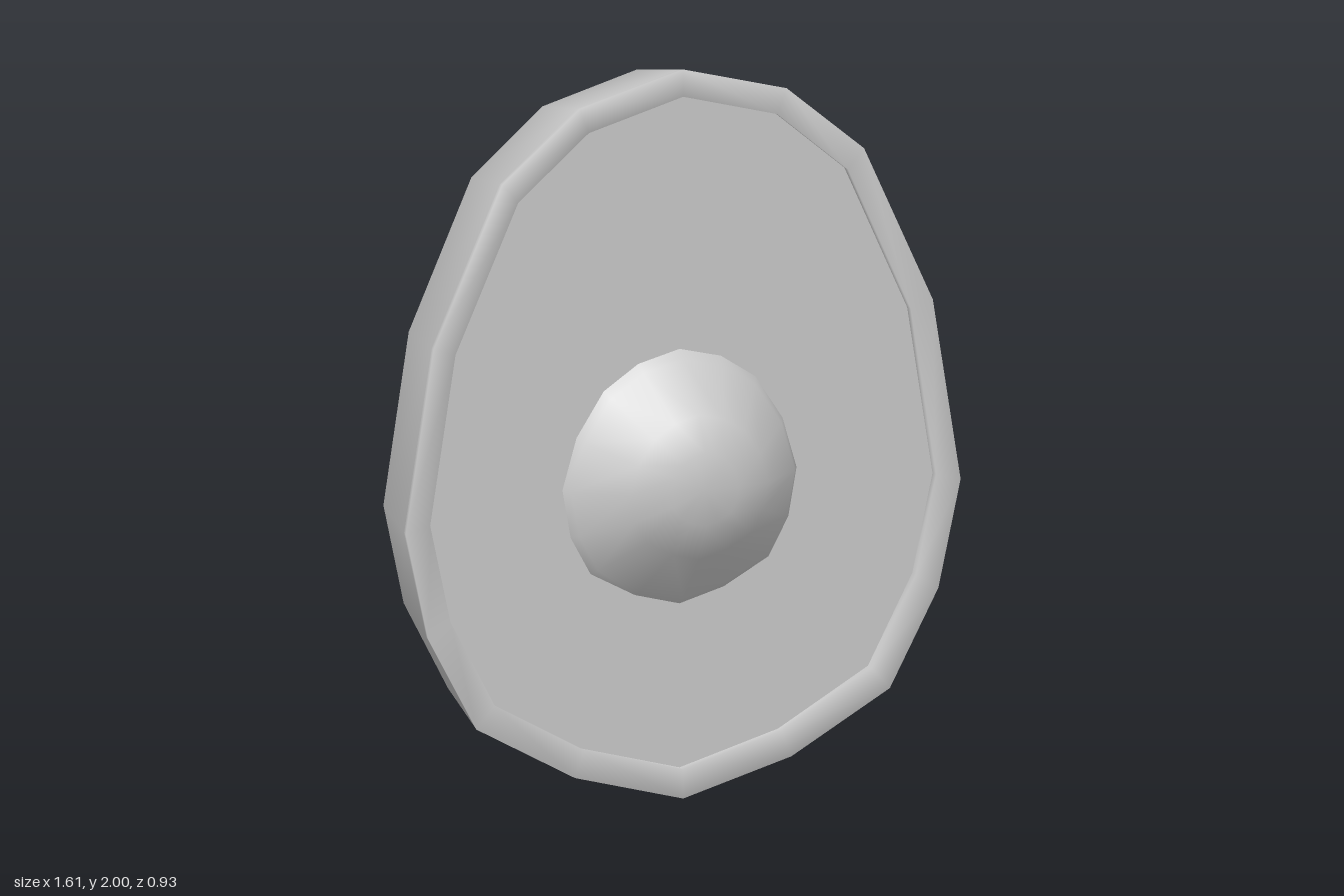
import * as THREE from 'three';

// Right half of each outline, top to bottom, as [x 0..1, y 0..1]
const EGG = [[0, 1], [0.373, 0.96], [0.652, 0.867], [0.9, 0.65], [1, 0.4], [0.92, 0.254], [0.745, 0.123], [0.39, 0.043], [0, 0]];
const PIT = [[0, 1], [0.353, 0.957], [0.647, 0.863], [0.88, 0.69], [1, 0.49], [0.93, 0.3], [0.76, 0.15], [0.38, 0.05], [0, 0]];

// Skin over loops given as [z, halfWidth, bottom, top]; a zero-size loop closes an end
function loft(name, half, loops, material) {
  const outline = [...half, ...half.slice(1, -1).reverse().map(([x, y]) => [-x, y])];
  const n = outline.length;
  const positions = [];
  const index = [];
  for (const [z, width, bottom, top] of loops) {
    for (const [u, v] of outline) positions.push(u * width, bottom + (top - bottom) * v, z);
  }
  for (let i = 0; i < loops.length - 1; i++) {
    for (let j = 0; j < n; j++) {
      const a = i * n + j;
      const b = i * n + (j + 1) % n;
      if (loops[i][1] > 0) index.push(a, b, a + n);
      if (loops[i + 1][1] > 0) index.push(b, b + n, a + n);
    }
  }
  const geometry = new THREE.BufferGeometry();
  geometry.setAttribute('position', new THREE.Float32BufferAttribute(positions, 3));
  geometry.setIndex(index);
  geometry.computeVertexNormals();
  const mesh = new THREE.Mesh(geometry, material);
  mesh.name = name;
  return mesh;
}

export function createModel() {
  const group = new THREE.Group();
  group.name = 'halvedFruit';
  const material = new THREE.MeshStandardMaterial({ color: 0xcccccc });

  // Rounded back, narrowing to a small flat patch
  group.add(loft('skin', EGG, [
    [0.29, 0.8, 0.004, 1.994],
    [0, 0.735, 0.055, 1.93],
    [-0.295, 0.535, 0.2, 1.6],
    [-0.39, 0.38, 0.32, 1.33],
    [-0.465, 0.12, 0.57, 0.9],
    [-0.465, 0, 0.73, 0.73],
  ], material));

  // Raised rim around the cut face, with soft shading across it
  group.add(loft('rim', EGG, [
    [0.29, 0.735, 0.08, 1.925],
    [0.315, 0.735, 0.08, 1.925],
    [0.315, 0.806, 0, 2],
    [0.29, 0.8, 0.004, 1.994],
  ], material));

  // Flat cut face, slightly recessed
  group.add(loft('cutFace', EGG, [
    [0.29, 0, 0.88, 0.88],
    [0.29, 0.735, 0.08, 1.925],
  ], material));

  // Domed pit in the middle
  group.add(loft('pit', PIT, [
    [0.465, 0, 0.88, 0.88],
    [0.465, 0.097, 0.78, 0.98],
    [0.425, 0.2, 0.68, 1.075],
    [0.315, 0.325, 0.55, 1.205],
    [0.29, 0.34, 0.53, 1.228],
  ], material));

  return group;
}
